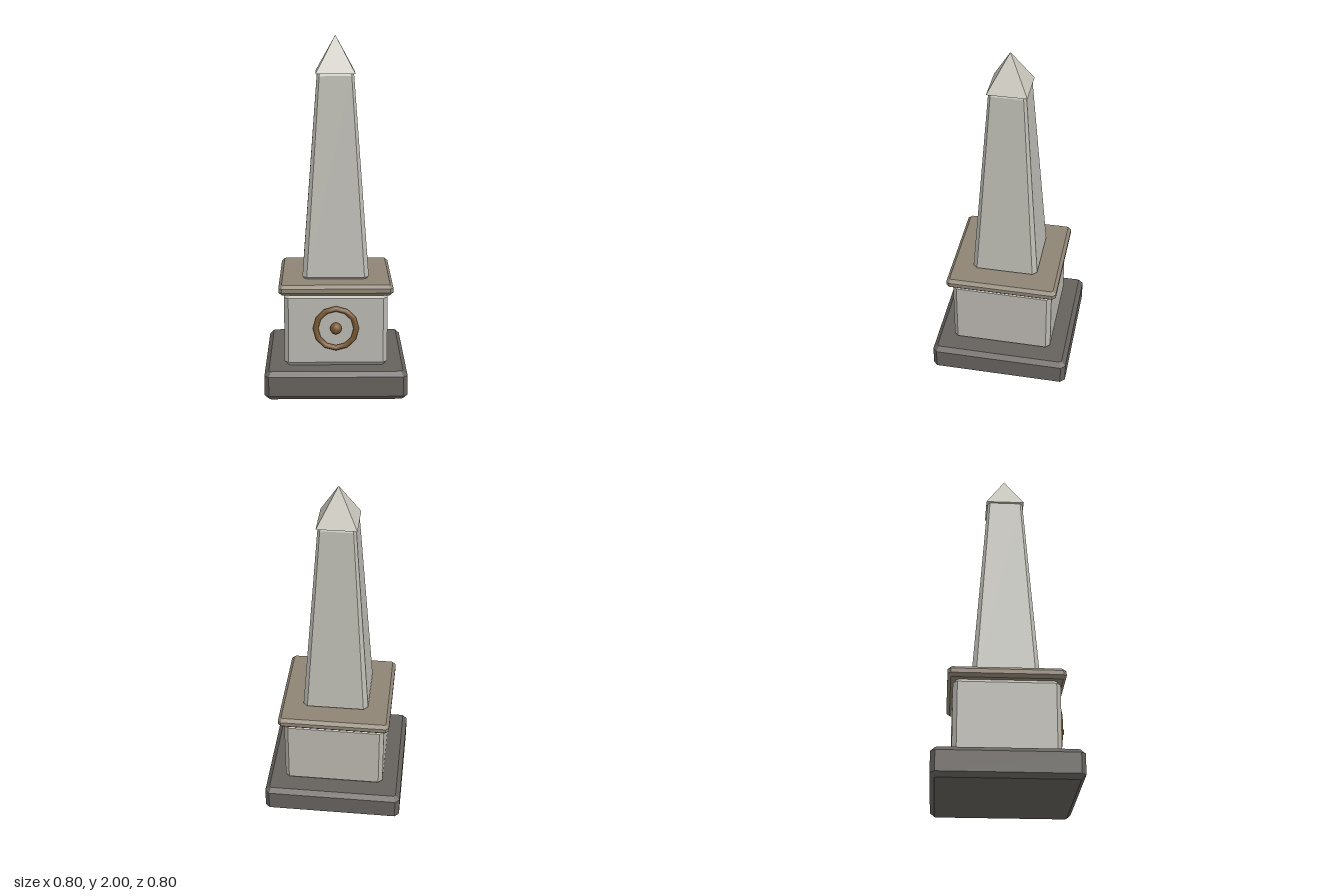
import * as THREE from 'three';

const mat = (name, color) => {
  const m = new THREE.MeshStandardMaterial({ color });
  m.name = name;
  return m;
};

// Square block with chamfered edges; rings are [y, half width, corner cut]
function chamferedBlock(rings) {
  const pos = [], index = [];
  for (const [y, h, c] of rings) {
    const k = h - c;
    // eight corners, anticlockwise seen from the front of the xz plane
    for (const [x, z] of [[h, k], [h, -k], [k, -h], [-k, -h], [-h, -k], [-h, k], [-k, h], [k, h]]) pos.push(x, y, z);
  }
  for (let r = 0; r < rings.length - 1; r++) {
    for (let i = 0; i < 8; i++) {
      const a = r * 8 + i, b = r * 8 + (i + 1) % 8;
      index.push(a, b, b + 8, a, b + 8, a + 8);
    }
  }
  const top = (rings.length - 1) * 8;
  for (let i = 1; i < 7; i++) {
    index.push(0, i + 1, i);
    index.push(top, top + i, top + i + 1);
  }
  const g = new THREE.BufferGeometry();
  g.setAttribute('position', new THREE.Float32BufferAttribute(pos, 3));
  g.setIndex(index);
  const flat = g.toNonIndexed();
  flat.computeVertexNormals();
  return flat;
}

// Straight block whose top and bottom edges are bevelled by b
const block = (y0, y1, h, b) => chamferedBlock([
  [y0, h - b, b * 0.4], [y0 + b, h, b], [y1 - b, h, b], [y1, h - b, b * 0.4],
]);

export function createModel() {
  const group = new THREE.Group();
  group.name = 'obelisk';
  const darkStone = mat('dark stone', 0x65615d);
  const paleStone = mat('pale stone', 0xbab7b0);
  const shaftStone = mat('shaft stone', 0xbcbbb3);
  const tanStone = mat('tan stone', 0x8e8474);
  const capStone = mat('cap stone', 0xc8c6bc);
  const bronze = mat('bronze', 0x7a5832);

  const add = (name, geometry, material) => {
    const mesh = new THREE.Mesh(geometry, material);
    mesh.name = name;
    group.add(mesh);
    return mesh;
  };

  // Stepped base
  add('plinth', block(0, 0.163, 0.4, 0.025), darkStone);
  add('pedestal', block(0.163, 0.585, 0.29, 0.024), paleStone);
  add('cornice', block(0.582, 0.642, 0.32, 0.018), tanStone);

  // Tapering shaft with cut corners
  add('shaft', chamferedBlock([
    [0.64, 0.172, 0.012], [0.654, 0.188, 0.025], [1.78, 0.104, 0.014], [1.795, 0.094, 0.006],
  ]), shaftStone);

  // Pyramid cap
  const cap = new THREE.ConeGeometry(0.111 * Math.SQRT2, 0.207, 4).toNonIndexed();
  cap.rotateY(Math.PI / 4);
  cap.computeVertexNormals();
  add('capstone', cap, capStone).position.y = 1.8965;

  // Round bronze emblem on the front
  const ring = add('emblemRing', new THREE.TorusGeometry(0.114, 0.016, 6, 12), bronze);
  ring.position.set(0, 0.39, 0.3);
  const knob = add('emblemKnob', new THREE.SphereGeometry(0.033, 12, 8), bronze);
  knob.position.set(0, 0.39, 0.3);
  return group;
}
